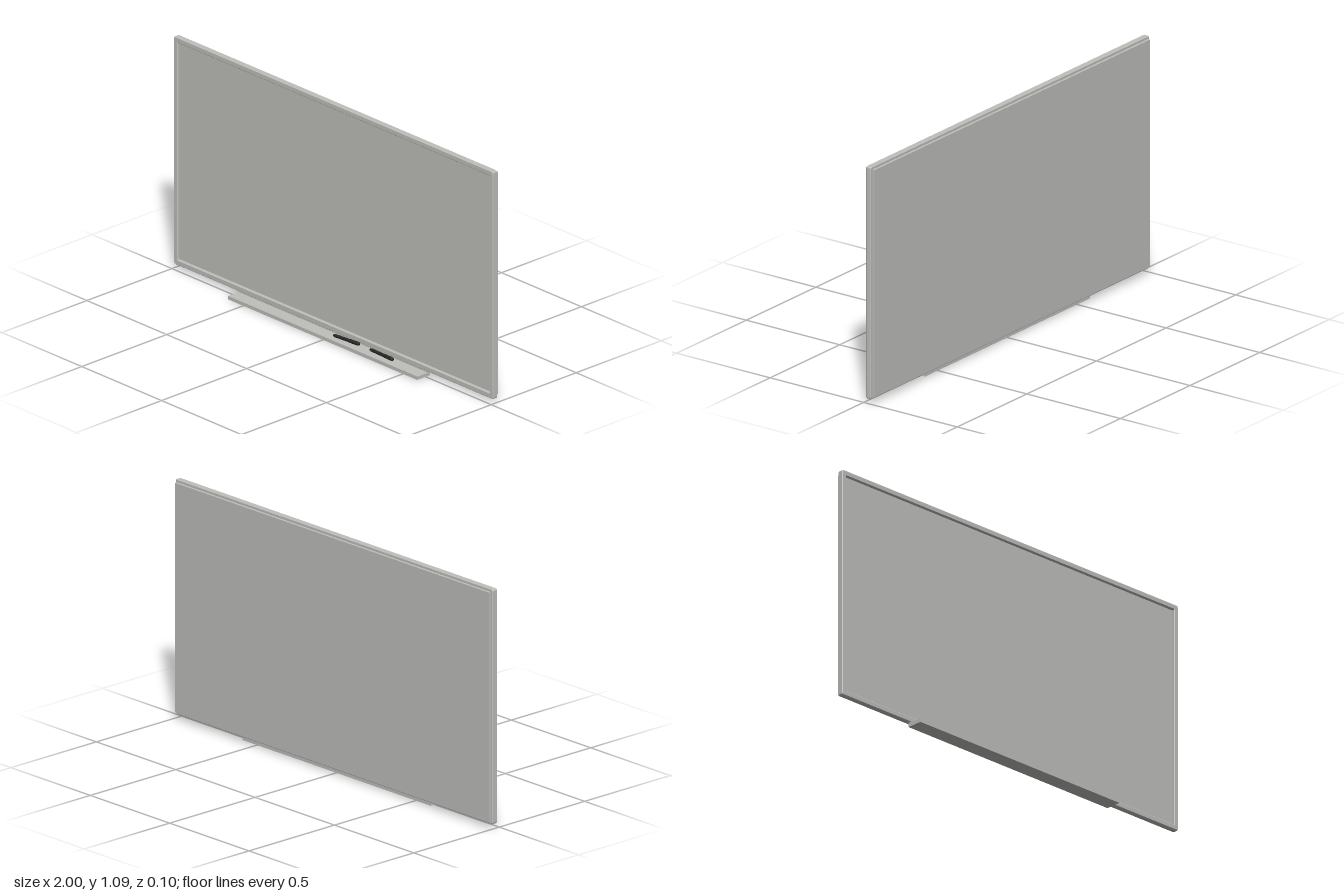
import * as THREE from 'three';

export function createModel() {
  const model = new THREE.Group();
  model.name = 'wallBoard';

  const grey = new THREE.MeshStandardMaterial({ color: 0xbebebb });
  grey.name = 'light grey';
  const black = new THREE.MeshStandardMaterial({ color: 0x262626 });
  black.name = 'marker black';

  const add = (name, geometry, material, x, y, z, parent = model) => {
    const mesh = new THREE.Mesh(geometry, material);
    mesh.name = name;
    mesh.position.set(x, y, z);
    parent.add(mesh);
    return mesh;
  };
  // Rectangle path centred on the origin with slightly rounded corners
  const rect = (Type, w, h, r) => {
    const p = new Type();
    const x = w / 2, y = h / 2;
    p.moveTo(-x + r, -y);
    p.lineTo(x - r, -y).quadraticCurveTo(x, -y, x, -y + r);
    p.lineTo(x, y - r).quadraticCurveTo(x, y, x - r, y);
    p.lineTo(-x + r, y).quadraticCurveTo(-x, y, -x, y - r);
    p.lineTo(-x, -y + r).quadraticCurveTo(-x, -y, -x + r, -y);
    return p;
  };

  // Frame with bevelled edges around the recessed writing surface
  const bevel = 0.003, midY = 0.5525;
  const frameShape = rect(THREE.Shape, 2 - 2 * bevel, 1.065 - 2 * bevel, 0.006);
  const hole = new THREE.Path();
  const hx = 0.977 + bevel, hy = 0.508 + bevel;
  hole.moveTo(-hx, -hy).lineTo(-hx, hy).lineTo(hx, hy).lineTo(hx, -hy).lineTo(-hx, -hy);
  frameShape.holes.push(hole);
  const frame = new THREE.ExtrudeGeometry(frameShape, {
    depth: 0.027 - 2 * bevel, bevelEnabled: true, bevelSize: bevel,
    bevelThickness: bevel, bevelSegments: 1, curveSegments: 3,
  });
  add('frame', frame, grey, 0, midY, -0.038 + bevel);
  add('writingSurface', new THREE.BoxGeometry(1.97, 1.03, 0.014), grey, 0, midY, -0.031);

  // Thin panel covering the back
  add('backPanel', new THREE.BoxGeometry(1.976, 1.041, 0.013), grey, 0, midY - 0.001, -0.0435);

  // Tray below the board, tucked under the frame
  add('tray', new THREE.BoxGeometry(1.185, 0.016, 0.074), grey, -0.002, 0.008, 0.013);
  add('trayBracket', new THREE.BoxGeometry(1.185, 0.009, 0.012), grey, -0.002, 0.0185, -0.018);

  // Markers lying on the tray: lathed barrel with a cap rim and a narrow end
  const profile = [
    [0, -0.072], [0.0055, -0.072], [0.0055, -0.066], [0.0075, -0.065], [0.0075, 0.022],
    [0.0085, 0.023], [0.0085, 0.066], [0.007, 0.072], [0, 0.072],
  ].map(([r, y]) => new THREE.Vector2(r, y));
  const markerGeometry = new THREE.LatheGeometry(profile, 16);
  for (const [name, x, z, turn] of [['markerOne', 0.108, 0.0135, 0.09], ['markerTwo', 0.327, 0.0125, -0.03]]) {
    const holder = new THREE.Group();
    holder.name = name;
    holder.position.set(x, 0.0245, z);
    holder.rotation.y = turn;
    add(name + 'Barrel', markerGeometry, black, 0, 0, 0, holder).rotation.z = -Math.PI / 2;
    model.add(holder);
  }
  return model;
}
